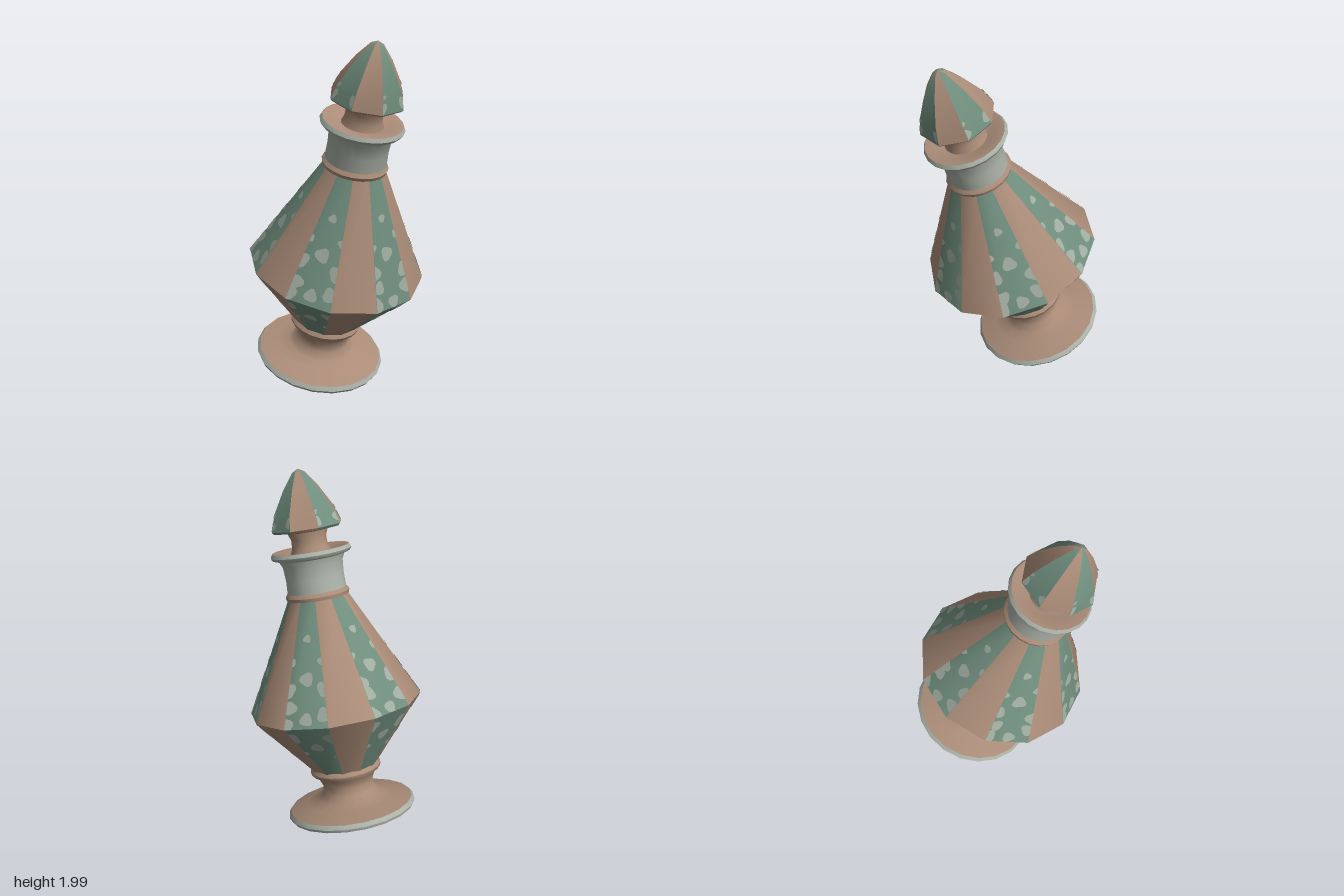
import * as THREE from 'three';
import { toCreasedNormals } from 'three/addons/utils/BufferGeometryUtils.js';

const mat = (name, color, side = THREE.FrontSide) => {
  const m = new THREE.MeshStandardMaterial({ color, side });
  m.name = name;
  return m;
};
const rad = THREE.MathUtils.degToRad;

// point on a facet corner: profile entry [radius, height], angle in degrees
const corner = ([r, h], deg) =>
  new THREE.Vector3(r * Math.sin(rad(deg)), h, r * Math.cos(rad(deg)));

// faceted solid whose side panels alternate between two materials
function striped(name, profile, sides, start, mats) {
  const pos = [], step = 360 / sides;
  const g = new THREE.BufferGeometry();
  for (let i = 0; i < sides; i++) {
    const a0 = start + i * step, a1 = a0 + step, first = pos.length / 3;
    for (let j = 0; j < profile.length - 1; j++) {
      const lo = profile[j], hi = profile[j + 1];
      const a = corner(lo, a0), b = corner(lo, a1), c = corner(hi, a1), d = corner(hi, a0);
      if (lo[0] > 0) for (const p of [a, b, c]) pos.push(...p);
      if (hi[0] > 0) for (const p of [a, c, d]) pos.push(...p);
    }
    g.addGroup(first, pos.length / 3 - first, i % 2);
  }
  g.setAttribute('position', new THREE.Float32BufferAttribute(pos, 3));
  const mesh = new THREE.Mesh(toCreasedNormals(g, 0.6), mats);
  mesh.name = name;
  return mesh;
}

// thin wobbly spots on every second panel, cut off at the panel edges
function spots(name, lo, hi, sides, start, list, material) {
  const pos = [], step = 360 / sides, n = 14;
  const clamp = (t) => Math.min(1, Math.max(0, t));
  for (let i = 0; i < sides; i += 2) {
    const a0 = start + i * step;
    const a = corner(lo, a0), b = corner(lo, a0 + step);
    const d = corner(hi, a0), c = corner(hi, a0 + step);
    const up = d.clone().add(c).sub(a).sub(b).multiplyScalar(0.5), height = up.length();
    const normal = b.clone().sub(a).cross(up).normalize();
    const at = (u, v) => a.clone().lerp(b, u).lerp(d.clone().lerp(c, u), v).addScaledVector(normal, 0.003);
    list.forEach(([u, v, r], k) => {
      const cv = clamp(v + 0.02 * Math.sin(i * 2.3 + k * 1.7));
      const width = THREE.MathUtils.lerp(a.distanceTo(b), d.distanceTo(c), cv);
      const rim = (t) => {
        const q = (t / n) * Math.PI * 2;
        const w = r * (1 + 0.14 * Math.sin(3 * q + i + k));
        return at(clamp(u + (w * Math.cos(q)) / width), clamp(cv + (w * Math.sin(q)) / height));
      };
      for (let t = 0; t < n; t++) for (const p of [at(u, cv), rim(t), rim((t + 1) % n)]) pos.push(...p);
    });
  }
  const g = new THREE.BufferGeometry();
  g.setAttribute('position', new THREE.Float32BufferAttribute(pos, 3));
  g.computeVertexNormals();
  const mesh = new THREE.Mesh(g, material);
  mesh.name = name;
  return mesh;
}

export function createModel() {
  const tan = mat('tan clay', 0xa98b77);
  const green = mat('sage green', 0x6f8d7d);
  const pale = mat('pale grey', 0xa9b0a6);
  const spotPale = mat('pale spot', 0xa0aca0, THREE.DoubleSide);

  const bottle = new THREE.Group();
  bottle.name = 'bottle';

  // round turned parts, profiles running bottom to top along the outside
  const turned = (name, profile, material, seg = 20) => {
    const g = new THREE.LatheGeometry(profile.map(([r, h]) => new THREE.Vector2(r, h)), seg);
    const mesh = new THREE.Mesh(toCreasedNormals(g, 0.75), material);
    mesh.name = name;
    bottle.add(mesh);
  };

  // foot: hollow underside, pale rim, tan stem with a collar
  turned('footRecessCap', [[0, 0.25], [0.112, 0.25]], green);
  turned('footUnderside', [[0.11, 0.25], [0.115, 0.085], [0.15, 0.068], [0.25, 0.055], [0.32, 0.025], [0.345, 0]], pale);
  turned('footRim', [[0.345, 0], [0.362, 0.003], [0.37, 0.02], [0.355, 0.042]], pale);
  turned('footStem', [[0.355, 0.042], [0.25, 0.073], [0.19, 0.09], [0.153, 0.125], [0.145, 0.17],
    [0.165, 0.22], [0.2, 0.245], [0.205, 0.262], [0.19, 0.285], [0.16, 0.285]], tan);

  // body: twelve striped panels, widest at the belt
  const bottom = [0.185, 0.27], belt = [0.488, 0.645], shoulder = [0.165, 1.275];
  bottle.add(striped('body', [bottom, belt, shoulder], 12, -4, [green, tan]));
  bottle.add(spots('upperBodySpots', belt, shoulder, 12, -4, [
    [0.5, 0.69, 0.022], [0.5, 0.4, 0.038], [0, 0.3, 0.04], [1, 0.28, 0.042], [0.1, 0.17, 0.036],
    [0.93, 0.12, 0.04], [0.5, 0.06, 0.035], [0, 0.5, 0.02], [1, 0.53, 0.022], [0, 0.04, 0.045],
  ], spotPale));
  bottle.add(spots('lowerBodySpots', bottom, belt, 12, -4, [
    [0.5, 0.62, 0.036], [0, 0.85, 0.045], [1, 0.8, 0.045], [0, 0.5, 0.022], [1, 0.42, 0.022],
  ], spotPale));

  // neck with collar and flared lip
  turned('neckCollar', [[0.15, 1.262], [0.174, 1.266], [0.18, 1.285], [0.166, 1.305]], tan);
  turned('neck', [[0.166, 1.3], [0.163, 1.38], [0.168, 1.455], [0.185, 1.49]], pale);
  turned('lipRim', [[0.185, 1.49], [0.215, 1.498], [0.226, 1.515], [0.215, 1.535]], pale);
  turned('lipTop', [[0.215, 1.535], [0.165, 1.53], [0.13, 1.515], [0.09, 1.51]], tan);

  // stopper: short stem and eight-sided pointed cap
  turned('stopperStem', [[0.115, 1.51], [0.1, 1.545], [0.098, 1.595], [0.115, 1.64]], tan);
  turned('stopperUnderside', [[0.09, 1.63], [0.184, 1.648]], tan, 8);
  const capLow = [0.202, 1.655], capMid = [0.17, 1.75];
  bottle.add(striped('stopperCap', [[0.09, 1.63], [0.19, 1.643], capLow, capMid, [0.1, 1.868],
    [0.035, 1.952], [0, 1.97]], 8, -10, [green, tan]));
  bottle.add(spots('stopperSpots', capLow, capMid, 8, -10, [
    [0, 0.35, 0.028], [1, 0.45, 0.03], [0, 0.95, 0.018],
  ], spotPale));

  // the whole bottle leans forward, standing on the front edge of its foot
  bottle.rotation.x = rad(17.3);
  bottle.position.set(0, 0.109, -0.165);
  const model = new THREE.Group();
  model.name = 'leaningBottle';
  model.add(bottle);
  return model;
}
